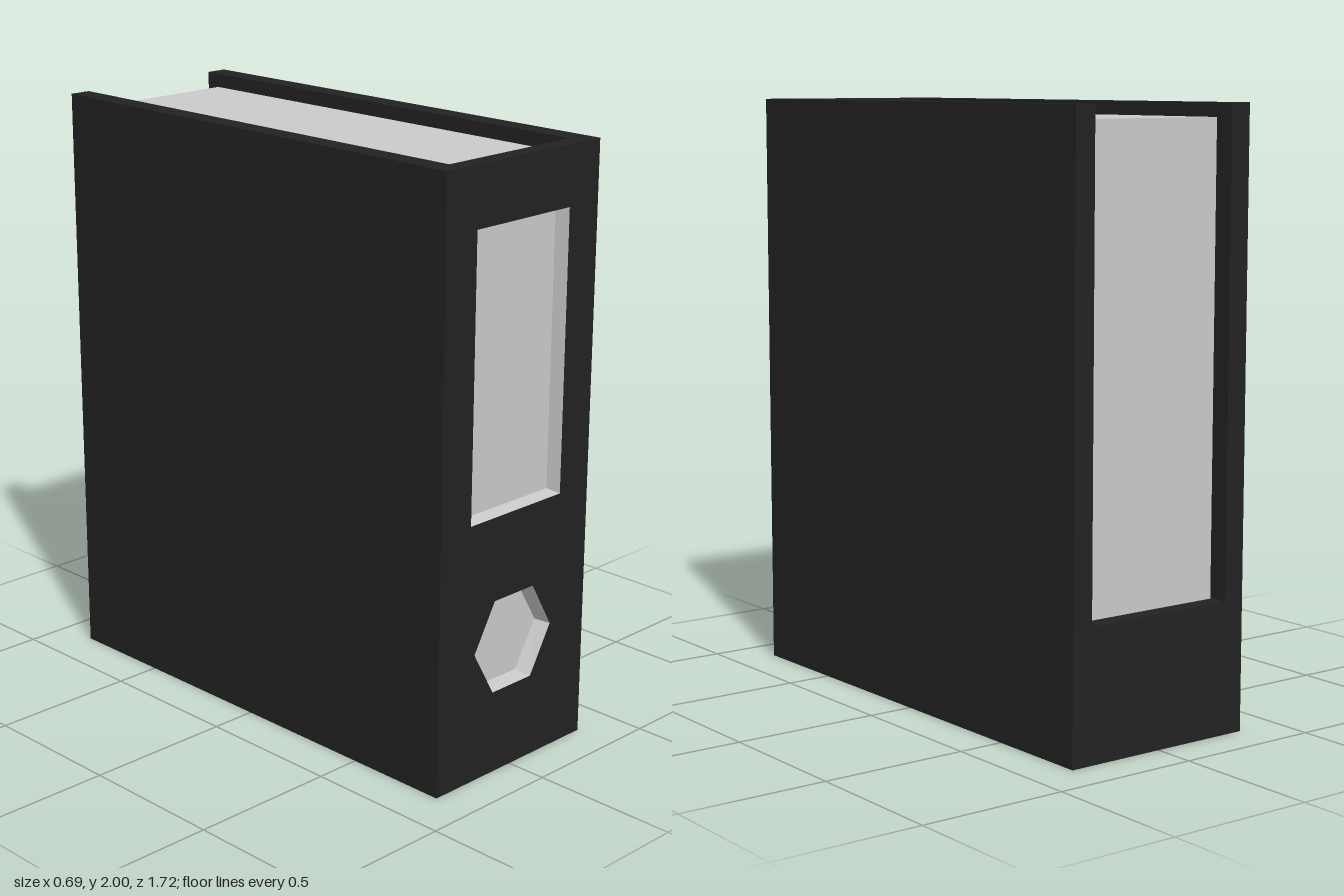
import * as THREE from 'three';

export function createModel() {
  const model = new THREE.Group();
  const black = new THREE.MeshStandardMaterial({ color: 0x222222 });
  black.name = 'blackBoard';
  const pale = new THREE.MeshStandardMaterial({ color: 0xcacaca });
  pale.name = 'palePaper';

  const W = 0.345, H = 2, D = 0.86; // half width, height, half depth
  const T = 0.06;                   // spine and back thickness
  const IN = 0.272;                 // inner half width

  const add = (name, geometry, material) => {
    const mesh = new THREE.Mesh(geometry, material);
    mesh.name = name;
    model.add(mesh);
    return mesh;
  };
  // Box given by its low and high corners
  const box = (name, a, b, material) => {
    const mesh = add(name, new THREE.BoxGeometry(b[0] - a[0], b[1] - a[1], b[2] - a[2]), material);
    mesh.position.set((a[0] + b[0]) / 2, (a[1] + b[1]) / 2, (a[2] + b[2]) / 2);
  };

  // Case: two side walls, floor and low back wall
  box('leftWall', [IN, 0, -D], [W, H, D - T], black);
  box('rightWall', [-W, 0, -D], [-IN, H, D - T], black);
  box('floor', [-IN, 0, -D], [IN, 0.07, D - T], black);
  box('backWall', [-IN, 0.07, -D], [IN, 0.435, -D + T], black);

  // Openings in the spine: label window and hexagonal finger hole
  const windowPoints = [[-0.21, 0.875], [0.21, 0.875], [0.21, 1.805], [-0.21, 1.805]]
    .map(([x, y]) => new THREE.Vector2(x, y));
  const hexPoints = Array.from({ length: 6 }, (_, i) => {
    const a = i * Math.PI / 3;
    return new THREE.Vector2(0.181 * Math.cos(a), 0.437 + 0.181 * Math.sin(a));
  });

  // Spine board: extruded rectangle, hole walls are lined separately
  const spine = new THREE.Shape([[-W, 0], [W, 0], [W, H], [-W, H]].map(([x, y]) => new THREE.Vector2(x, y)));
  spine.holes.push(new THREE.Path(windowPoints), new THREE.Path(hexPoints));
  add('spine', new THREE.ExtrudeGeometry(spine, { depth: T, bevelEnabled: false }), black).position.z = D - T;

  // Pale lining of an opening: slightly tapered walls and a flat bottom
  const lining = (name, points, depth) => {
    const c = points.reduce((s, p) => s.add(p), new THREE.Vector2()).divideScalar(points.length);
    const inset = points.map((p) => new THREE.Vector2(
      p.x - Math.sign(Math.round((p.x - c.x) * 1000)) * 0.007,
      p.y - Math.sign(Math.round((p.y - c.y) * 1000)) * 0.007));
    const pos = [];
    points.forEach((p, i) => {
      const j = (i + 1) % points.length;
      const q = points[j], a = inset[i], b = inset[j], z = D - depth;
      pos.push(p.x, p.y, D, q.x, q.y, D, b.x, b.y, z);
      pos.push(p.x, p.y, D, b.x, b.y, z, a.x, a.y, z);
    });
    const walls = new THREE.BufferGeometry();
    walls.setAttribute('position', new THREE.Float32BufferAttribute(pos, 3));
    walls.computeVertexNormals();
    add(name + 'Walls', walls, pale);
    add(name + 'Bottom', new THREE.ShapeGeometry(new THREE.Shape(inset)), pale).position.z = D - depth;
  };
  lining('labelWindow', windowPoints, 0.05);
  lining('fingerHole', hexPoints, 0.058);

  // Block of pages inside the case
  box('pages', [-0.264, 0.07, -D + T], [0.264, 1.955, D - T], pale);

  return model;
}
